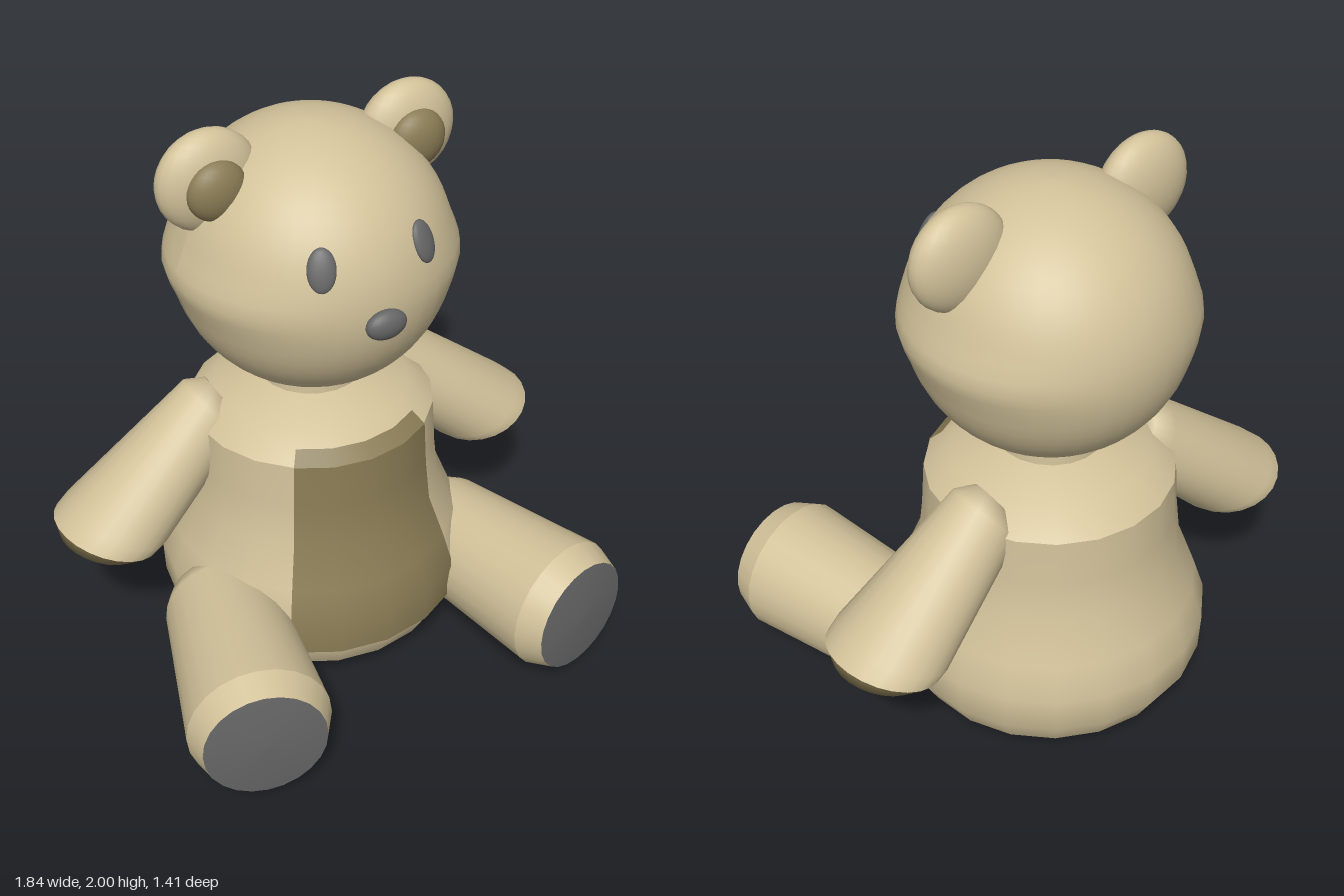
import * as THREE from 'three';

const material = (color) => new THREE.MeshStandardMaterial({ color, side: THREE.DoubleSide });

export function createModel() {
  const model = new THREE.Group();
  const fur = material(0xd2c29a), pad = material(0x8a7c55), dark = material(0x666666);

  const add = (name, geometry, mat, parent = model) => {
    const mesh = new THREE.Mesh(geometry, mat);
    mesh.name = name;
    parent.add(mesh);
    return mesh;
  };
  const lathe = (points, segments, start = 0, length = Math.PI * 2) =>
    new THREE.LatheGeometry(points.map(([r, y]) => new THREE.Vector2(r, y)), segments, start, length);
  const ellipsoid = (name, mat, radii, position) => {
    const mesh = add(name, new THREE.SphereGeometry(1, 24, 16), mat);
    mesh.scale.set(...radii);
    mesh.position.set(...position);
    return mesh;
  };

  // Skin over oval rings: [upper x, upper y, lower x, lower y, half depth]
  const loft = (rings, side, depth, n = 24) => {
    const positions = [], index = [];
    rings.forEach(([ux, uy, lx, ly, w], i) => {
      for (let j = 0; j < n; j++) {
        const a = side * j / n * Math.PI * 2, c = Math.cos(a) / 2;
        positions.push(side * ((ux + lx) / 2 + (ux - lx) * c), (uy + ly) / 2 + (uy - ly) * c, depth + w * Math.sin(a));
        if (i < rings.length - 1) {
          const k = i * n + j, m = i * n + (j + 1) % n;
          index.push(k, m, k + n, m, m + n, k + n);
        }
      }
    });
    const geometry = new THREE.BufferGeometry();
    geometry.setAttribute('position', new THREE.Float32BufferAttribute(positions, 3));
    geometry.setIndex(index);
    geometry.computeVertexNormals();
    return geometry;
  };

  // Body: three turned bands with creases between, and a belly panel on the front
  const body = new THREE.Group();
  body.name = 'body';
  body.position.z = -0.168;
  model.add(body);
  const torso = [[0.485, 0.1], [0.54, 0.2], [0.545, 0.33], [0.505, 0.45], [0.445, 0.6], [0.428, 0.75], [0.418, 0.91]];
  add('bodyBase', lathe([[0, 0.005], [0.34, 0.008], [0.485, 0.1]], 20), fur, body);
  add('torso', lathe(torso, 20), fur, body);
  add('shoulders', lathe([[0.418, 0.91], [0.33, 0.985], [0.18, 1.035]], 20), fur, body);
  add('neck', lathe([[0.178, 1.03], [0.172, 1.12]], 20), fur, body);
  const lift = ([r, y]) => [r + 0.003, y];
  const belly = (points) => lathe(points.map(lift), 4, -Math.PI / 5, Math.PI * 0.4);
  add('bellyPanel', belly([[0.54, 0.2], ...torso.slice(2)]), pad, body);
  add('bellyPanelTop', belly([[0.418, 0.91], [0.371, 0.952]]), pad, body);

  // Head: a ball with slightly flared cheeks
  const headGeometry = new THREE.SphereGeometry(1, 40, 32);
  headGeometry.scale(0.46, 0.457, 0.465);
  const p = headGeometry.attributes.position;
  for (let i = 0; i < p.count; i++) {
    const y = p.getY(i);
    p.setX(i, p.getX(i) * (1 + 0.055 * Math.exp(-(((y - 0.005) / 0.07) ** 2))));
  }
  headGeometry.computeVertexNormals();
  add('head', headGeometry, fur).position.set(0, 1.505, -0.157);
  ellipsoid('nose', dark, [0.07, 0.05, 0.035], [0, 1.475, 0.32]);

  for (const side of [1, -1]) {
    const label = side > 0 ? 'left' : 'right';

    // Ears and eyes
    ellipsoid(label + 'Ear', fur, [0.172, 0.17, 0.085], [side * 0.35, 1.83, -0.168]);
    ellipsoid(label + 'InnerEar', pad, [0.1, 0.1, 0.06], [side * 0.35, 1.825, -0.1]);
    const eye = ellipsoid(label + 'Eye', dark, [0.045, 0.07, 0.02], [side * 0.176, 1.672, 0.235]);
    eye.lookAt(side * 0.55, 2.02, 1.03);

    // Arm with its paw pad
    const wrist = [0.92, 0.615, 0.58, 0.485, 0.205];
    add(label + 'Arm', loft([
      [0.33, 0.96, 0.33, 0.96, 0],
      [0.345, 1.025, 0.27, 0.9, 0.07],
      [0.42, 1.025, 0.25, 0.81, 0.125],
      [0.87, 0.66, 0.55, 0.51, 0.208],
      wrist,
    ], side, -0.255), fur);
    add(label + 'PawPad', loft([
      wrist,
      [0.91, 0.555, 0.645, 0.455, 0.15],
      [0.77, 0.47, 0.77, 0.47, 0],
    ], side, -0.255), pad);

    // Leg pointing forward and outward, with its sole
    const leg = new THREE.Group();
    leg.name = label + 'Leg';
    leg.position.set(side * 0.61, 0.262, 0.65);
    leg.rotation.set(Math.PI / 2 - 0.025, side * 0.245, 0, 'YXZ');
    model.add(leg);
    add(label + 'Thigh', lathe([[0, -0.8], [0.11, -0.785], [0.175, -0.735], [0.2, -0.67], [0.24, -0.09]], 24), fur, leg);
    add(label + 'FootEdge', lathe([[0.24, -0.09], [0.205, 0]], 24), fur, leg);
    add(label + 'Sole', lathe([[0.205, 0], [0.11, 0.012], [0, 0.016]], 24), dark, leg);
  }
  return model;
}
